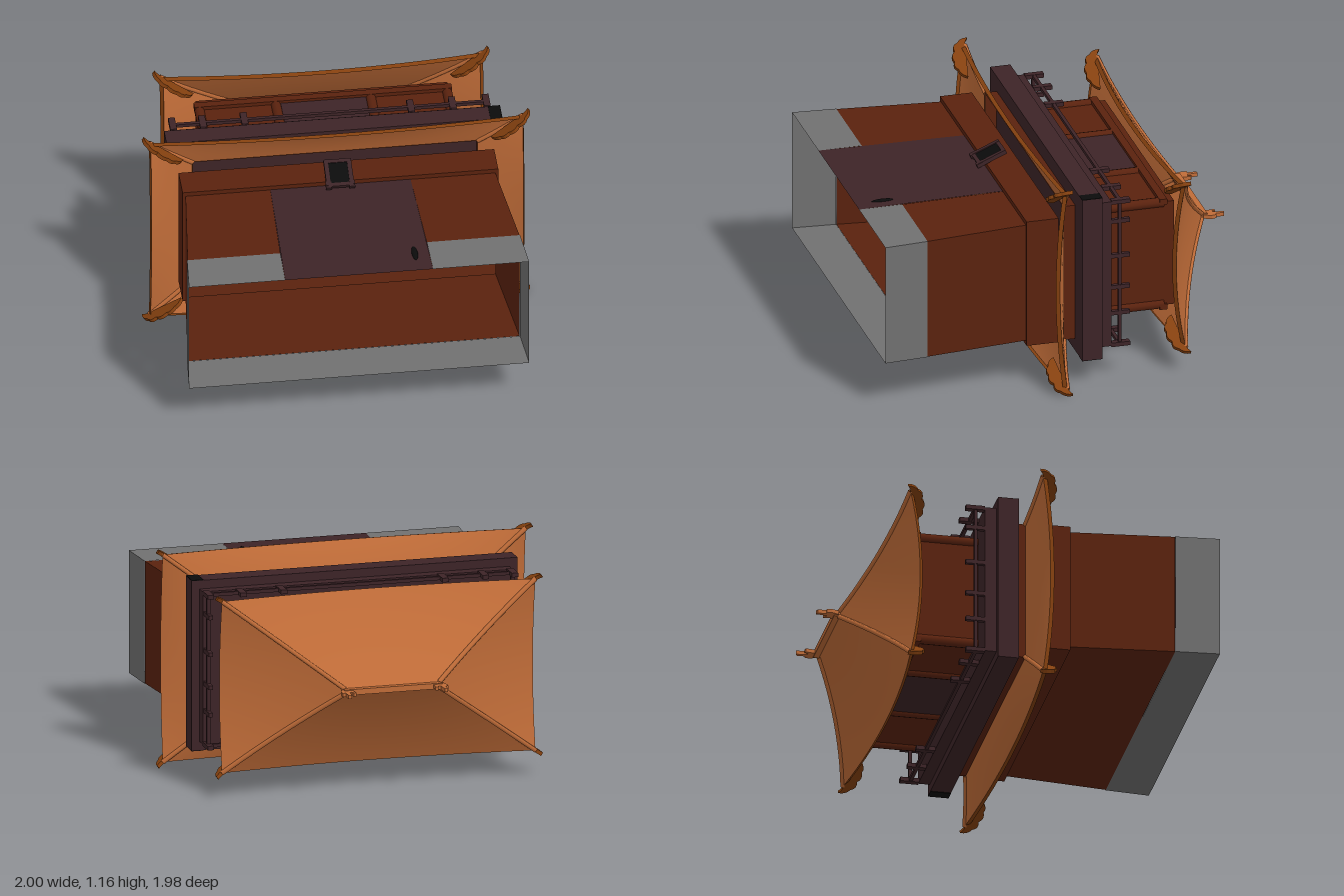
import * as THREE from 'three';
import { ParametricGeometry } from 'three/addons/geometries/ParametricGeometry.js';

const paint = (name, color) => {
  const m = new THREE.MeshStandardMaterial({ color, side: THREE.DoubleSide });
  m.name = name;
  return m;
};
const stone = paint('grey stone', 0x707070);
const brick = paint('red brown wall', 0x5a220e);
const wood = paint('dark wood', 0x3d2427);
const tile = paint('orange tile', 0xc06c38);
const rust = paint('rust trim', 0x84400f);
const black = paint('black', 0x0b0b0b);

function add(parent, name, geometry, material, x = 0, y = 0, z = 0) {
  const m = new THREE.Mesh(geometry, material);
  m.name = name;
  m.position.set(x, y, z);
  parent.add(m);
  return m;
}

// Box given by its centre in x and z and its bottom and top heights
const box = (parent, name, mat, w, y0, y1, d, x = 0, z = 0) =>
  add(parent, name, new THREE.BoxGeometry(w, y1 - y0, d), mat, x, (y0 + y1) / 2, z);

// Open rectangular tube through rows of [height, half width, half depth]
function walls(parent, name, mat, rows, skipFront = false) {
  const pos = [];
  const corner = ([y, w, d], k) => [[-w, y, d], [w, y, d], [w, y, -d], [-w, y, -d]][k % 4];
  for (let r = 0; r < rows.length - 1; r++) {
    for (let k = skipFront ? 1 : 0; k < 4; k++) {
      const a = corner(rows[r], k), b = corner(rows[r], k + 1);
      const c = corner(rows[r + 1], k + 1), d = corner(rows[r + 1], k);
      pos.push(...a, ...b, ...c, ...a, ...c, ...d);
    }
  }
  const g = new THREE.BufferGeometry();
  g.setAttribute('position', new THREE.Float32BufferAttribute(pos, 3));
  g.computeVertexNormals();
  add(parent, name, g, mat);
}

// Flat front panel from outline points
const panel = (parent, name, mat, z, pts) =>
  add(parent, name, new THREE.ShapeGeometry(new THREE.Shape(pts.map(p => new THREE.Vector2(...p)))), mat, 0, 0, z);

// Scalloped eave bracket, tip towards +x
function bracketGeometry() {
  const s = new THREE.Shape();
  s.moveTo(-0.2, -0.03);
  s.lineTo(0, 0.0);
  s.quadraticCurveTo(0.02, 0.005, 0.035, 0.02);
  s.quadraticCurveTo(0.04, -0.02, 0.01, -0.04);
  s.quadraticCurveTo(0.0, -0.075, -0.04, -0.065);
  s.quadraticCurveTo(-0.06, -0.095, -0.1, -0.08);
  s.quadraticCurveTo(-0.13, -0.095, -0.15, -0.07);
  s.quadraticCurveTo(-0.18, -0.07, -0.2, -0.03);
  const g = new THREE.ExtrudeGeometry(s, { depth: 0.02, bevelEnabled: false, curveSegments: 4 });
  return g.translate(0, 0, -0.01);
}

// Hipped roof with curved slopes and corners that sweep up
function roof(parent, name, { inner, outer, top, a, b, dip }) {
  const group = new THREE.Group();
  group.name = name;
  parent.add(group);
  const point = (k, t, c, target) => {
    const w = THREE.MathUtils.lerp(inner[0], outer[0], t);
    const d = THREE.MathUtils.lerp(inner[1], outer[1], t);
    const along = k % 2 ? d : w, out = k % 2 ? w : d;
    const y = top - a * t + b * t * t - dip * t * t * (1 - c * c);
    return target.set(c * along, y, out).applyAxisAngle(new THREE.Vector3(0, 1, 0), k * Math.PI / 2);
  };
  const bracket = bracketGeometry();
  for (let k = 0; k < 4; k++) {
    add(group, 'roofSlope', new ParametricGeometry((u, v, p) => point(k, u, v * 2 - 1, p), 8, 16), tile);
    // Trim under the eave
    add(group, 'eaveTrim', new ParametricGeometry((u, v, p) => {
      point(k, 1 - 0.03 * u, v * 2 - 1, p);
      p.y -= 0.024 * u;
    }, 1, 16), rust);
    // Hip ridge and corner bracket
    const hip = [];
    for (let i = 0; i <= 8; i++) hip.push(point(k, i / 8, 1, new THREE.Vector3()));
    add(group, 'hipRidge', new THREE.TubeGeometry(new THREE.CatmullRomCurve3(hip), 12, 0.013, 6), tile);
    const tip = hip[8];
    const m = add(group, 'eaveBracket', bracket, rust, tip.x, tip.y, tip.z);
    m.rotation.y = Math.atan2(-Math.sign(tip.z) * 0.11, Math.sign(tip.x) * 0.17);
  }
  return group;
}

export function createModel() {
  const model = new THREE.Group();
  model.name = 'gatehouse';
  // The tower lies on its back: its height runs along -z, its door faces +y
  const g = new THREE.Group();
  g.name = 'tower';
  g.rotation.x = -Math.PI / 2;
  g.position.set(0, 0.58, 0.99);
  model.add(g);

  // Hollow gate base with a tall front door
  walls(g, 'stoneFooting', stone, [[0, 0.878, 0.325], [0.23, 0.86, 0.325]], true);
  walls(g, 'lowerWall', brick, [[0.23, 0.857, 0.324], [0.77, 0.8, 0.324]], true);
  for (const s of [-1, 1]) {
    panel(g, 'frontFooting', stone, 0.325, [[s * 0.382, 0], [s * 0.878, 0], [s * 0.86, 0.23], [s * 0.378, 0.23]]);
    panel(g, 'frontWall', brick, 0.324, [[s * 0.378, 0.23], [s * 0.857, 0.23], [s * 0.8, 0.77], [s * 0.362, 0.77]]);
  }
  panel(g, 'gateDoor', wood, 0.325, [[-0.382, 0], [0.382, 0], [0.362, 0.77], [-0.362, 0.77]]);
  add(g, 'doorHandle', new THREE.SphereGeometry(1, 12, 8), black, 0.305, 0.145, 0.325).scale.set(0.016, 0.058, 0.008);
  walls(g, 'wallBand', brick, [[0.77, 0.8, 0.324], [0.77, 0.815, 0.348], [0.94, 0.815, 0.348]]);

  // Tilted plaque over the door
  const plaque = new THREE.Group();
  plaque.name = 'plaque';
  plaque.position.set(-0.005, 0.8, 0.375);
  plaque.rotation.x = 0.39;
  g.add(plaque);
  box(plaque, 'plaqueBoard', black, 0.1, -0.07, 0.07, 0.012);
  for (const s of [-1, 1]) {
    box(plaque, 'plaqueSide', wood, 0.022, -0.075, 0.08, 0.022, s * 0.06);
    box(plaque, 'plaqueRail', wood, 0.13, s * 0.07 - 0.01, s * 0.07 + 0.01, 0.02);
    box(plaque, 'plaqueFoot', wood, 0.03, -0.088, -0.05, 0.02, s * 0.06);
  }

  // Lower roof and the neck above it
  roof(g, 'lowerRoof', { inner: [0.735, 0.373], outer: [0.967, 0.55], top: 0.99, a: 0.06, b: 0.015, dip: 0.04 });
  walls(g, 'neck', brick, [[0.985, 0.738, 0.375], [1.05, 0.738, 0.375]]);

  // Balcony
  const up = new THREE.Group();
  up.name = 'upperStorey';
  up.position.set(0.005, 0, 0.008);
  g.add(up);
  box(up, 'balconyBeam', wood, 1.735, 1.05, 1.158, 0.9);
  box(up, 'balconyFloor', wood, 1.65, 1.158, 1.218, 0.81);
  for (const s of [-1, 1]) {
    box(up, 'beamEndPlate', black, 0.062, 1.05, 1.158, 0.004, 0.836, s * 0.451);
    // Railing
    box(up, 'longRail', wood, 1.64, 1.255, 1.273, 0.018, 0, s * 0.4);
    box(up, 'sideRail', wood, 0.018, 1.255, 1.273, 0.81, s * 0.81);
    for (const x of [-0.81, -0.655, -0.44, 0.42, 0.635, 0.81])
      box(up, 'railPost', wood, 0.034, 1.218, 1.317, 0.022, x, s * 0.4);
    for (const z of [0.29, 0.095, -0.08, -0.225])
      box(up, 'sidePost', wood, 0.022, 1.218, 1.317, 0.022, s * 0.81, z);
  }

  // Upper room with posts, panels and head beams
  box(up, 'upperRoom', brick, 1.3, 1.218, 1.6, 0.58);
  for (const s of [-1, 1]) {
    box(up, 'roomPanel', wood, 0.44, 1.218, 1.54, 0.006, 0, s * 0.292);
    box(up, 'headBeam', brick, 1.33, 1.52, 1.56, 0.03, 0, s * 0.295);
    for (const x of [-0.64, -0.245, 0.245, 0.64])
      add(up, 'roomPost', new THREE.CylinderGeometry(0.026, 0.026, 0.33, 10), brick, x, 1.38, s * 0.285);
  }

  // Upper roof with ridge and end finials
  const top = roof(up, 'upperRoof', { inner: [0.25, 0.012], outer: [0.835, 0.455], top: 1.86, a: 0.36, b: 0.11, dip: 0.05 });
  box(top, 'ridge', tile, 0.52, 1.845, 1.888, 0.03);
  const f = new THREE.Shape();
  [[-0.04, 0], [0.02, 0], [0.035, 0.04], [0.03, 0.065], [0.015, 0.065], [0.015, 0.11], [-0.003, 0.115],
    [-0.008, 0.06], [-0.02, 0.055], [-0.026, 0.075], [-0.04, 0.07], [-0.035, 0.035]]
    .forEach(([x, y], i) => (i ? f.lineTo(x, y) : f.moveTo(x, y)));
  const finial = new THREE.ExtrudeGeometry(f, { depth: 0.02, bevelEnabled: false });
  for (const s of [-1, 1]) {
    const m = add(top, 'finial', finial, tile, s * 0.25, 1.865, -0.01 * s);
    m.rotation.y = s < 0 ? Math.PI : 0;
  }
  return model;
}
